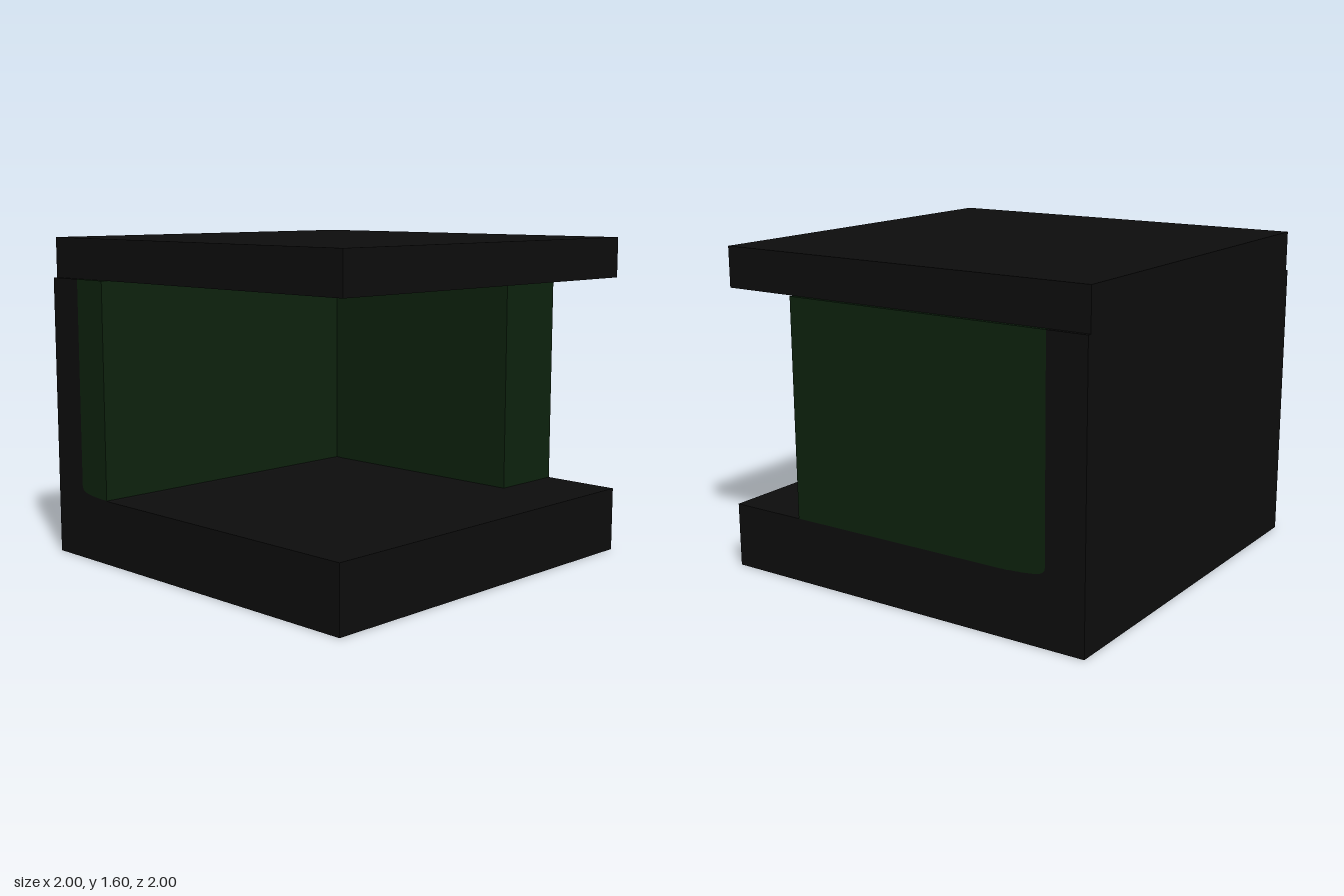
import * as THREE from 'three';

const black = new THREE.MeshStandardMaterial({ color: 0x0d0d0d });
black.name = 'black';
const green = new THREE.MeshStandardMaterial({ color: 0x0d220e });
green.name = 'dark green';

// Extrudes a side profile drawn in (z, y) across the given width, centred on x = 0
function sideProfile(name, shape, width, material) {
  const geometry = new THREE.ExtrudeGeometry(shape, { depth: width, bevelEnabled: false, curveSegments: 10 });
  geometry.rotateY(-Math.PI / 2).translate(width / 2, 0, 0);
  const mesh = new THREE.Mesh(geometry, material);
  mesh.name = name;
  return mesh;
}

// Box given by its minimum and maximum corners
function block(name, [x0, y0, z0], [x1, y1, z1], material) {
  const mesh = new THREE.Mesh(new THREE.BoxGeometry(x1 - x0, y1 - y0, z1 - z0), material);
  mesh.position.set((x0 + x1) / 2, (y0 + y1) / 2, (z0 + z1) / 2);
  mesh.name = name;
  return mesh;
}

export function createModel() {
  const model = new THREE.Group();
  model.name = 'openBooth';

  const floor = 0.32, ceiling = 1.4;

  // Base and back wall in one piece, joined by a flat fillet
  const frame = new THREE.Shape();
  frame.moveTo(-1, 0);
  frame.lineTo(1, 0);
  frame.lineTo(1, floor);
  frame.lineTo(-0.57, floor);
  frame.bezierCurveTo(-0.72, 0.33, -0.8, 0.325, -0.8, 0.37);
  frame.lineTo(-0.8, ceiling);
  frame.lineTo(-1, ceiling);
  frame.closePath();
  model.add(sideProfile('baseAndBackWall', frame, 2, black));

  // Back lining, its underside following the fillet
  const lining = new THREE.Shape();
  lining.moveTo(-0.6, floor);
  lining.lineTo(-0.6, ceiling);
  lining.lineTo(-0.8, ceiling);
  lining.lineTo(-0.8, 0.37);
  lining.bezierCurveTo(-0.8, 0.325, -0.72, 0.33, -0.6, floor);
  model.add(sideProfile('backLining', lining, 2, green));

  // Thick side wall on the left
  model.add(block('sideWall', [0.61, floor, -0.6], [1, ceiling, 0.6], green));

  // Slightly narrower roof slab
  model.add(block('roof', [-0.98, ceiling, -1], [0.98, 1.6, 1], black));

  return model;
}
